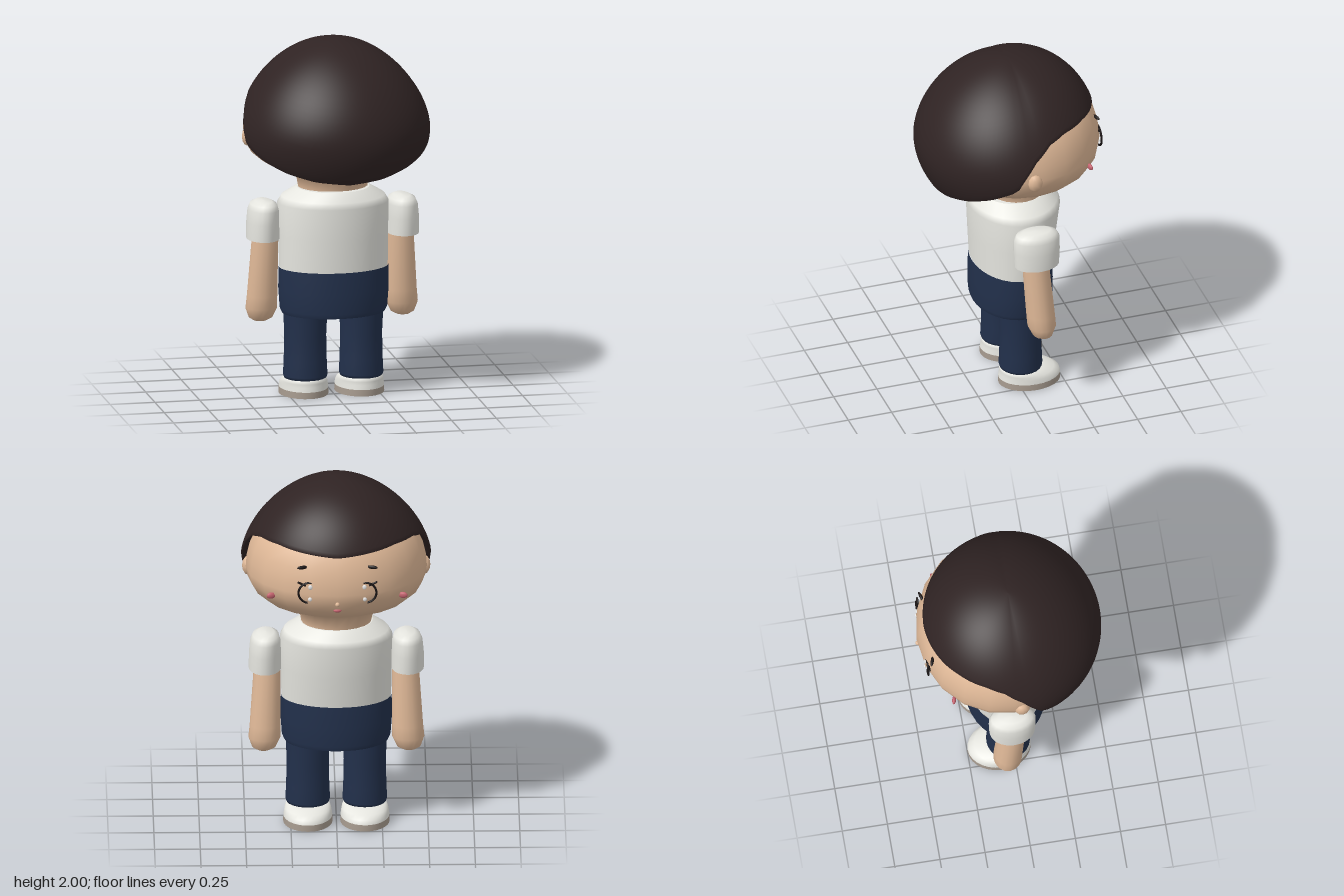
import * as THREE from 'three';

const mat = (name, color, side = THREE.FrontSide) => {
  const m = new THREE.MeshStandardMaterial({ color, side });
  m.name = name;
  return m;
};

// Closed-loop surface: rows run upwards, columns run around the y axis.
function gridSurface(rows, cols, point) {
  const pos = [], idx = [];
  for (let j = 0; j < rows; j++)
    for (let i = 0; i < cols; i++) pos.push(...point(j, (i / cols) * Math.PI * 2));
  for (let j = 0; j < rows - 1; j++)
    for (let i = 0; i < cols; i++) {
      const k = (i + 1) % cols;
      const a = j * cols + i, b = j * cols + k, c = b + cols, d = a + cols;
      idx.push(a, b, c, a, c, d);
    }
  const g = new THREE.BufferGeometry();
  g.setAttribute('position', new THREE.Float32BufferAttribute(pos, 3));
  g.setIndex(idx);
  g.computeVertexNormals();
  return g;
}

// Elliptical rings [y, rx, rz, cx, cz]; a repeated ring gives a sharp edge.
const loft = (rings, cols) => gridSurface(rings.length, cols, (j, a) => {
  const [y, rx, rz, cx = 0, cz = 0] = rings[j];
  return [cx + rx * Math.sin(a), y, cz + rz * Math.cos(a)];
});

// Height of the hairline by angle in degrees, from the nape (0) to the fringe (180).
const HAIRLINE = [[0, 1.275], [25, 1.295], [45, 1.335], [62, 1.385], [78, 1.45], [83, 1.53],
  [90, 1.61], [101, 1.685], [114, 1.715], [135, 1.72], [180, 1.69]];
function hairlineAt(deg) {
  for (let i = 1; i < HAIRLINE.length; i++) {
    const [d0, y0] = HAIRLINE[i - 1], [d1, y1] = HAIRLINE[i];
    if (deg <= d1) return y0 + ((y1 - y0) * (deg - d0)) / (d1 - d0);
  }
  return HAIRLINE[HAIRLINE.length - 1][1];
}

function hairGeometry() {
  const rows = 28;
  return gridSurface(rows, 96, (j, a) => {
    const deg = THREE.MathUtils.radToDeg(Math.min(a, Math.PI * 2 - a));
    const c = Math.cos(a), s = Math.sin(a);
    const e0 = Math.asin((hairlineAt(deg) - 1.5) / 0.5);
    const t = Math.max(0, j - 2) / (rows - 3);
    const up = Math.sin(e0 + (Math.PI / 2 - e0) * t);
    const n = 1.75 + 0.35 * Math.max(0, -c);
    let y = 1.5 + 0.5 * up;
    let r = 0.505 + 0.005 * c + 0.02 * s * s;
    r *= up > 0 ? Math.pow(Math.max(0, 1 - Math.pow(up, n)), 1 / n) : 1 - 0.7 * up * up;
    // The first rows turn inwards to give the rim thickness.
    if (j === 0) { r *= 0.92; y += 0.02; }
    if (j === 1) { r *= 0.98; y -= 0.006; }
    return [r * s, y, r * c];
  });
}

export function createModel() {
  const model = new THREE.Group();
  model.name = 'child';
  const skin = mat('skin', 0xdfb897);
  const hair = mat('hair brown', 0x2f2323, THREE.DoubleSide);
  const white = mat('cloth white', 0xe6e6e0, THREE.DoubleSide);
  const navy = mat('navy', 0x22304b);
  const sole = mat('sole taupe', 0xa89c90);
  const black = mat('black', 0x1a1414);
  const pink = mat('blush pink', 0xc4626e);
  const shine = mat('eye shine', 0xffffff);

  const add = (name, geo, material, x = 0, y = 0, z = 0) => {
    const m = new THREE.Mesh(geo, material);
    m.name = name;
    m.position.set(x, y, z);
    model.add(m);
    return m;
  };
  const blob = (name, material, p, size, seg = 12) =>
    add(name, new THREE.SphereGeometry(1, seg, Math.max(6, seg - 4)).scale(...size), material, ...p);

  // Head and neck
  const headRings = [[1.13, 0.165], [1.17, 0.168], [1.25, 0.195], [1.32, 0.37], [1.37, 0.425],
    [1.43, 0.457], [1.48, 0.465], [1.55, 0.46], [1.62, 0.445], [1.7, 0.412], [1.8, 0.33],
    [1.88, 0.22], [1.93, 0]].map(([y, r]) => [y, r * (y < 1.2 ? 1.15 : 1.065), r, 0, -0.04]);
  add('head', loft(headRings, 20), skin);
  add('hair', hairGeometry(), hair);

  // Face centre line
  blob('nose', skin, [0, 1.43, -0.5], [0.013, 0.013, 0.013]);
  blob('mouth', pink, [0, 1.385, -0.474], [0.022, 0.01, 0.009]);

  // Shirt and shorts
  add('shirt', loft([[0.72, 0.3, 0.217, 0, -0.018], [0.9, 0.303, 0.235, 0, -0.026],
    [1.08, 0.307, 0.252, 0, -0.034], [1.115, 0.285, 0.242, 0, -0.032],
    [1.165, 0.2, 0.19, 0, -0.028], [1.165, 0.2, 0.19, 0, -0.028], [1.165, 0, 0, 0, -0.03]], 32), white);
  add('shorts', loft([[0.465, 0, 0, 0, -0.018], [0.465, 0.285, 0.215, 0, -0.018],
    [0.465, 0.285, 0.215, 0, -0.018], [0.49, 0.297, 0.222, 0, -0.018],
    [0.6, 0.305, 0.224, 0, -0.018], [0.722, 0.303, 0.22, 0, -0.018]], 32), navy);

  for (const s of [1, -1]) {
    // Ear, cheek, brow
    blob('ear', skin, [s * 0.485, 1.47, 0], [0.03, 0.052, 0.042], 10);
    blob('cheek', pink, [s * 0.36, 1.43, -0.357], [0.026, 0.018, 0.011]).rotation.y = s * 0.25;
    const brow = blob('brow', black, [s * 0.19, 1.63, -0.45], [0.032, 0.01, 0.009]);
    brow.rotation.y = s * 0.3;

    // Eye: an outer arc with an upper lash and two highlights
    const arc = new THREE.TorusGeometry(0.058, 0.006, 6, 24, Math.PI * 1.1);
    arc.rotateZ(s > 0 ? -Math.PI * 0.45 : Math.PI * 0.35);
    add('eyeArc', arc, black, s * 0.155, 1.49, -0.474);
    const lash = add('lash', new THREE.CapsuleGeometry(0.006, 0.04, 3, 8), black, s * 0.195, 1.54, -0.468);
    lash.rotation.z = -s * 1.1;
    blob('eyeShine', shine, [s * 0.148, 1.525, -0.482], [0.012, 0.014, 0.006]);
    blob('eyeShine', shine, [s * 0.15, 1.455, -0.484], [0.011, 0.012, 0.006]);

    // Sleeve, open at the cuff
    add('sleeve', loft([[0.9, 0.075, 0.11, s * 0.39, -0.04], [0.885, 0.089, 0.125, s * 0.39, -0.04],
      [0.885, 0.089, 0.125, s * 0.39, -0.04], [0.98, 0.088, 0.13, s * 0.39, -0.04],
      [1.05, 0.083, 0.13, s * 0.388, -0.04], [1.08, 0.072, 0.115, s * 0.386, -0.04],
      [1.095, 0.045, 0.08, s * 0.385, -0.04], [1.098, 0, 0, s * 0.385, -0.04]], 20), white);

    // Arm with a blunt mitten hand
    add('arm', loft([[0.415, 0, 0, s * 0.4, -0.07], [0.418, 0.035, 0.03, s * 0.398, -0.07],
      [0.435, 0.065, 0.055, s * 0.396, -0.07], [0.49, 0.088, 0.078, s * 0.393, -0.067],
      [0.56, 0.085, 0.078, s * 0.389, -0.062], [0.88, 0.074, 0.074, s * 0.378, -0.037],
      [1.02, 0.06, 0.06, s * 0.375, -0.03]], 16), skin);

    // Trouser leg with a rolled hem
    const x = s * 0.156;
    add('leg', loft([[0.09, 0.1, 0.1, x, -0.025], [0.1, 0.117, 0.116, x, -0.025],
      [0.115, 0.122, 0.12, x, -0.025], [0.2, 0.118, 0.116, x, -0.025],
      [0.34, 0.115, 0.114, x, -0.025], [0.5, 0.122, 0.122, x, -0.022]], 24), navy);

    // Shoe
    add('sole', loft([[0, 0, 0, x, -0.075], [0, 0.135, 0.174, x, -0.075], [0, 0.135, 0.174, x, -0.075],
      [0.036, 0.134, 0.174, x, -0.075]], 28), sole);
    add('shoe', loft([[0.036, 0.134, 0.174, x, -0.075], [0.06, 0.131, 0.168, x, -0.073],
      [0.078, 0.127, 0.152, x, -0.06], [0.096, 0.118, 0.128, x, -0.035],
      [0.102, 0.1, 0.1, x, -0.025], [0.102, 0, 0, x, -0.025]], 28), white);
  }
  return model;
}
